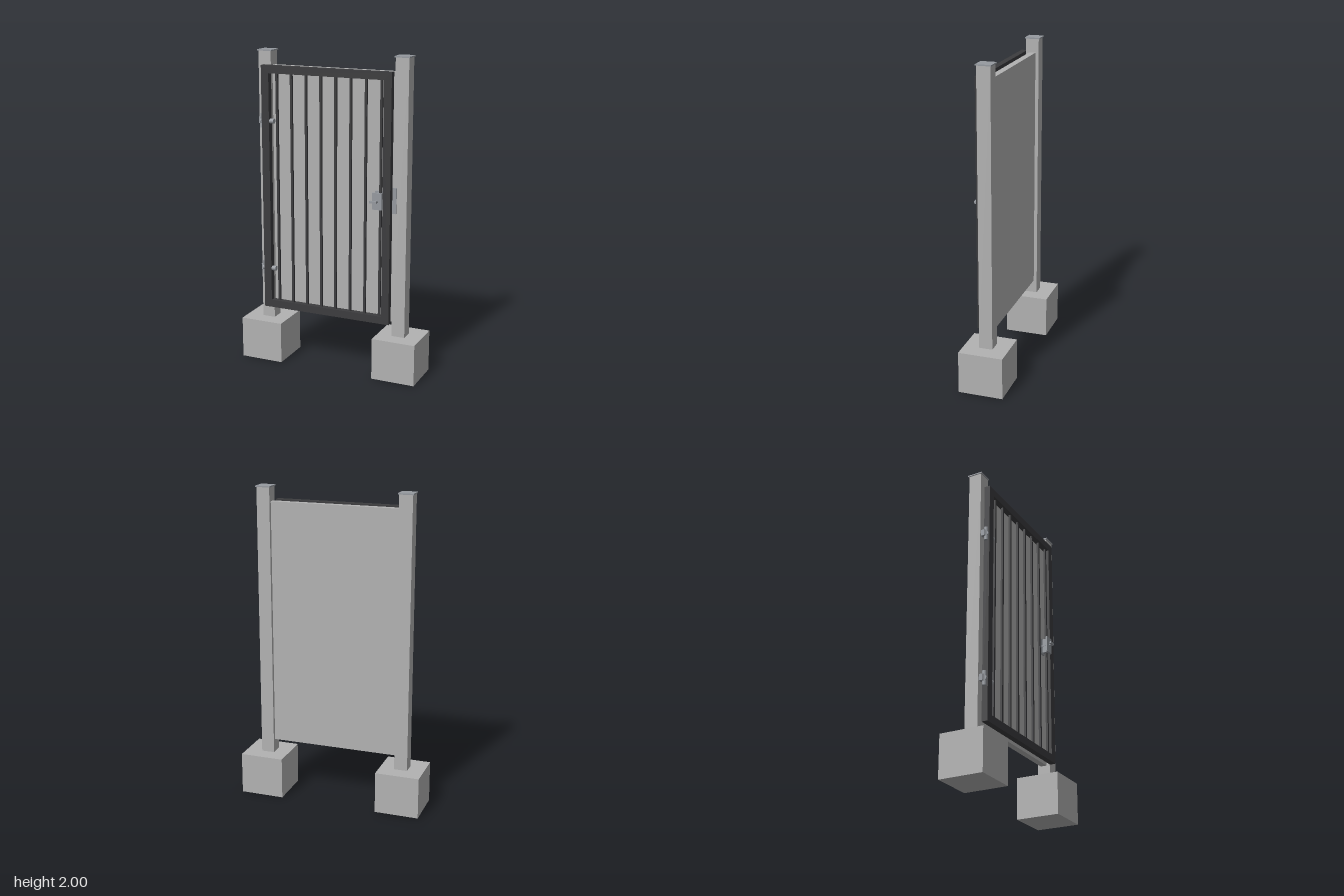
import * as THREE from 'three';

const mat = (name, color) => {
  const m = new THREE.MeshStandardMaterial({ color });
  m.name = name;
  return m;
};

export function createModel() {
  const gate = new THREE.Group();
  gate.name = 'gardenGate';
  const paleGrey = mat('paleGrey', 0xb2b2b2);
  const charcoal = mat('charcoal', 0x3c3c3e);
  const steel = mat('steel', 0x969aa0);

  const group = (name) => {
    const g = new THREE.Group();
    g.name = name;
    gate.add(g);
    return g;
  };
  const add = (parent, name, geometry, material, x, y, z) => {
    const mesh = new THREE.Mesh(geometry, material);
    mesh.name = name;
    mesh.position.set(x, y, z);
    parent.add(mesh);
    return mesh;
  };
  // Box given by its limits on each axis
  const box = (parent, name, material, [x0, x1], [y0, y1], [z0, z1]) =>
    add(parent, name, new THREE.BoxGeometry(x1 - x0, y1 - y0, z1 - z0), material,
      (x0 + x1) / 2, (y0 + y1) / 2, (z0 + z1) / 2);

  // Footings, posts and caps
  for (const side of [-1, 1]) {
    const post = group(side < 0 ? 'rightPost' : 'leftPost');
    const x = side * 0.45;
    const block = side * 0.454;
    box(post, 'footing', paleGrey, [block - 0.14, block + 0.14], [0, 0.265], [-0.14, 0.14]);
    box(post, 'postTube', paleGrey, [x - 0.042, x + 0.042], [0.265, 1.992], [-0.042, 0.042]);
    box(post, 'postCap', steel, [x - 0.048, x + 0.048], [1.992, 2], [-0.049, 0.047]);
  }

  // Infill panel between the posts
  box(gate, 'panel', paleGrey, [-0.408, 0.408], [0.35, 1.905], [-0.021, 0.02]);

  // Gate leaf: mitred frame extruded as one ring, with upright bars
  const leaf = group('gateLeaf');
  const ring = (x0, x1, y0, y1, Type) => new Type([
    new THREE.Vector2(x0, y0), new THREE.Vector2(x1, y0),
    new THREE.Vector2(x1, y1), new THREE.Vector2(x0, y1),
  ]);
  const outline = ring(-0.455, 0.402, 0.35, 1.91, THREE.Shape);
  outline.holes.push(ring(-0.405, 0.353, 0.398, 1.862, THREE.Path));
  add(leaf, 'gateFrame', new THREE.ExtrudeGeometry(outline, { depth: 0.038, bevelEnabled: false }),
    charcoal, 0, 0, 0.047);
  for (let i = 0; i < 8; i++) {
    const x = -0.356 + i * 0.0985;
    box(leaf, 'uprightBar', charcoal, [x - 0.007, x + 0.007], [0.398, 1.862], [0.059, 0.073]);
  }

  // Hinges: bolt through the stile, barrel and post bracket
  for (const y of [0.61, 1.565]) {
    const hinge = group('hinge');
    const bolt = add(hinge, 'hingeBolt', new THREE.CylinderGeometry(0.016, 0.016, 0.09, 16), steel, -0.423, y, 0.066);
    bolt.rotation.z = Math.PI / 2;
    add(hinge, 'hingeBarrel', new THREE.CylinderGeometry(0.013, 0.013, 0.09, 16), steel, -0.46, y, 0.064);
    box(hinge, 'hingeBracket', steel, [-0.484, -0.456], [y - 0.02, y + 0.02], [0.042, 0.067]);
  }

  // Latch: lock case, cover plates and lever handle on both faces
  const latch = group('latch');
  box(latch, 'lockCase', steel, [0.313, 0.354], [1.085, 1.18], [0.05, 0.082]);
  box(latch, 'frontCoverPlate', steel, [0.289, 0.352], [1.08, 1.184], [0.086, 0.096]);
  box(latch, 'backCoverPlate', steel, [0.289, 0.352], [1.08, 1.184], [0.034, 0.044]);
  const spindle = add(latch, 'spindle', new THREE.CylinderGeometry(0.008, 0.008, 0.106, 12), steel, 0.32, 1.132, 0.073);
  spindle.rotation.x = Math.PI / 2;
  box(latch, 'leverHandle', steel, [0.284, 0.328], [1.125, 1.139], [0.114, 0.127]);

  // Strike plate on the post, with its stop behind the stile
  box(latch, 'strikePlate', steel, [0.402, 0.428], [1.054, 1.214], [0.042, 0.049]);
  box(latch, 'strikeStop', steel, [0.386, 0.404], [1.054, 1.214], [0.04, 0.047]);

  return gate;
}
